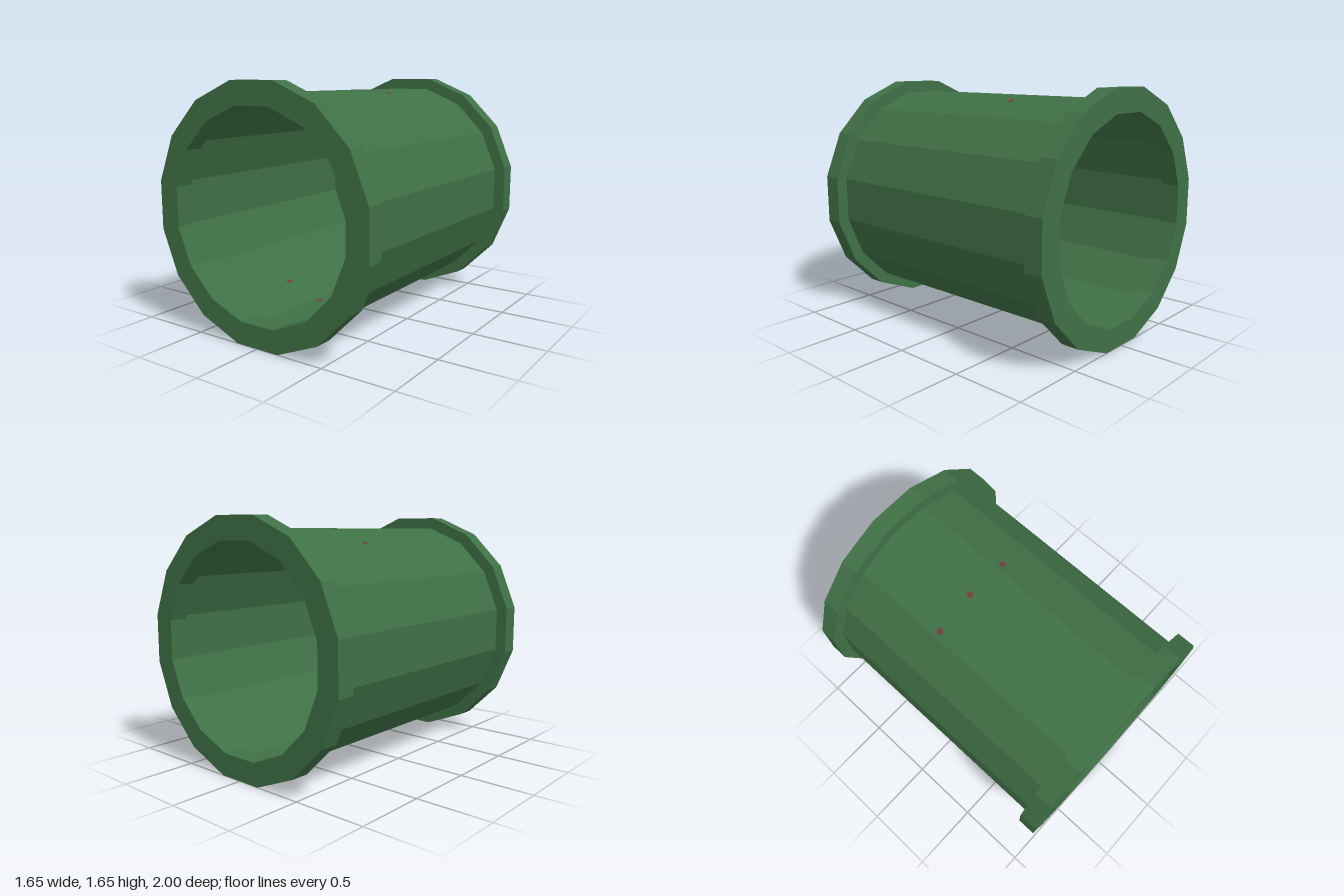
import * as THREE from 'three';

const SIDES = 16;
const CENTER_Y = 0.827;
const flat = 1 / Math.cos(Math.PI / SIDES); // flat-to-flat radius -> corner radius

// Faceted solid of revolution around the z axis, with flats at top and bottom
function turned(profile, material, name) {
  const points = profile.map(([r, z]) => new THREE.Vector2(r * flat, z));
  const geometry = new THREE.LatheGeometry(points, SIDES, Math.PI / SIDES)
    .rotateX(Math.PI / 2)
    .toNonIndexed();
  geometry.computeVertexNormals();
  const mesh = new THREE.Mesh(geometry, material);
  mesh.name = name;
  return mesh;
}

export function createModel() {
  const green = new THREE.MeshStandardMaterial({ color: 0x3f7045, flatShading: true });
  green.name = 'pipe green';
  const shell = new THREE.MeshStandardMaterial({ color: 0x3f7045, flatShading: true, side: THREE.DoubleSide });
  shell.name = 'pipe green shell';
  const red = new THREE.MeshStandardMaterial({ color: 0x743f3c, flatShading: true });
  red.name = 'dull red';

  const model = new THREE.Group();
  model.name = 'pipe';
  const pipe = new THREE.Group();
  pipe.name = 'pipeParts';
  pipe.position.y = CENTER_Y;
  model.add(pipe);

  // Thin open barrel
  pipe.add(turned([[0.748, -0.88], [0.748, 0.88]], shell, 'barrel'));

  // Closed square-section collar at each end
  for (const [name, z] of [['frontRim', 0.875], ['backRim', -1]]) {
    pipe.add(turned(
      [[0.675, z], [0.827, z], [0.827, z + 0.125], [0.675, z + 0.125], [0.675, z]],
      green, name));
  }

  // Tiny red specks flush with the wall, three above and three below
  const speck = new THREE.CylinderGeometry(0.024, 0.024, 0.004, 6);
  for (const side of [1, -1]) {
    for (const x of [-0.38, -0.1, 0.2]) {
      const facet = Math.round(Math.asin(x / 0.755) / (Math.PI / 8)) * (Math.PI / 8);
      const y = (0.748 - x * Math.sin(facet)) / Math.cos(facet);
      const mesh = new THREE.Mesh(speck, red);
      mesh.name = side > 0 ? 'topSpeck' : 'bottomSpeck';
      mesh.position.set(x, side * y, -0.22 * side);
      mesh.rotation.z = -facet * side;
      pipe.add(mesh);
    }
  }
  return model;
}
